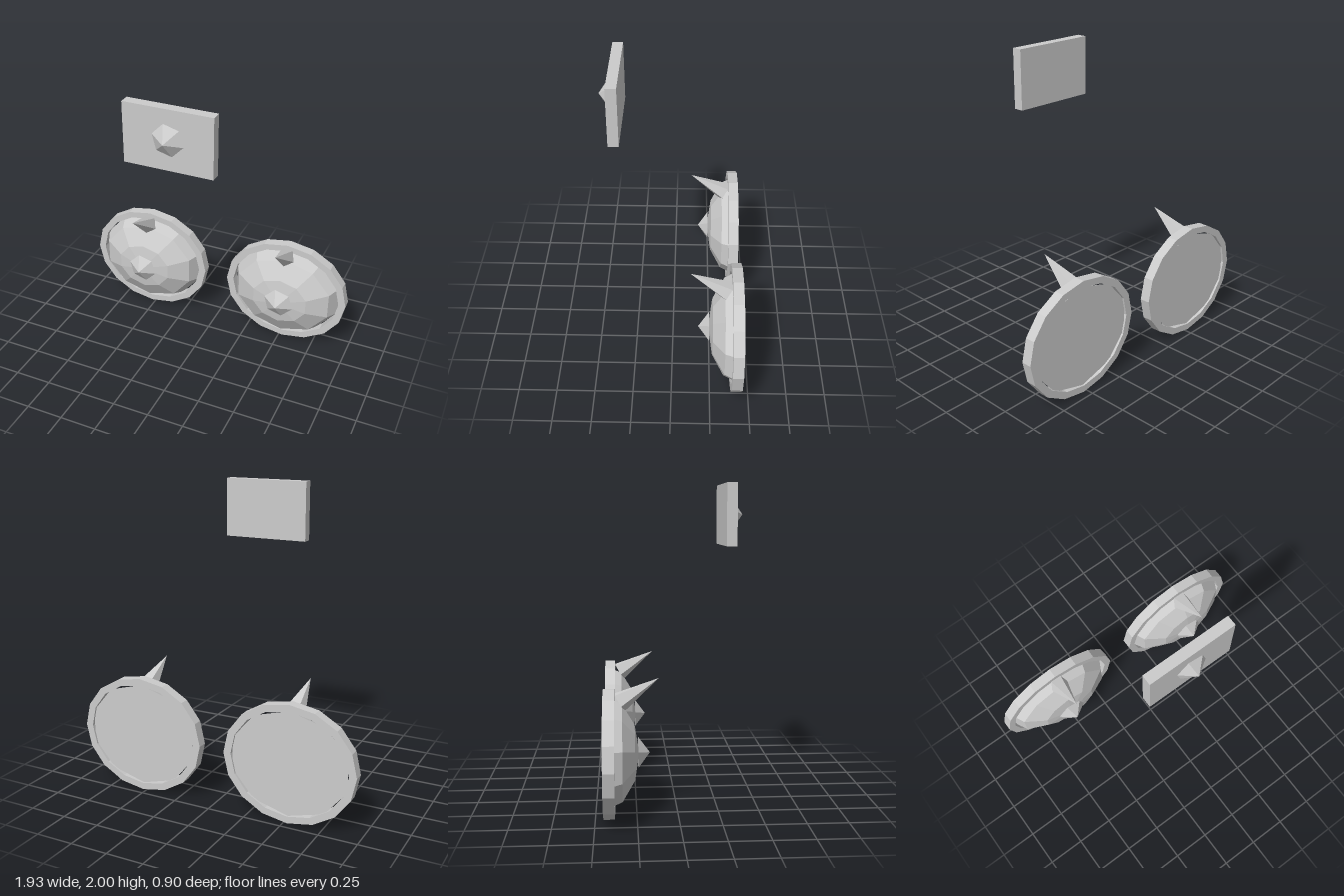
import * as THREE from 'three';

const material = new THREE.MeshStandardMaterial({ color: 0xcccccc, flatShading: true });

function part(name, geometry, x, y, z) {
  const mesh = new THREE.Mesh(geometry, material);
  mesh.name = name;
  mesh.position.set(x, y, z);
  return mesh;
}

// Six-sided pointed stud whose base sits at z = 0
function studGeometry() {
  return new THREE.ConeGeometry(0.105, 0.07, 6)
    .rotateX(Math.PI / 2)
    .rotateZ(THREE.MathUtils.degToRad(15))
    .translate(0, 0, 0.035);
}

// Points of a 16-sided oval
function ovalPoints(rx, ry) {
  return Array.from({ length: 16 }, (_, i) => {
    const a = (i / 16) * Math.PI * 2;
    return new THREE.Vector2(rx * Math.cos(a), ry * Math.sin(a));
  });
}

function createShield(name, x) {
  const shield = new THREE.Group();
  shield.name = name;
  shield.position.set(x, 0.387, 0);

  // Flat oval rim
  const rim = new THREE.Shape(ovalPoints(0.44, 0.387));
  rim.holes.push(new THREE.Path(ovalPoints(0.39, 0.342)));
  const rimGeometry = new THREE.ExtrudeGeometry(rim, { depth: 0.068, bevelEnabled: false });
  shield.add(part('rim', rimGeometry, 0, 0, -0.45));

  // Ten-sided half dome with a flat back
  const profile = [new THREE.Vector2(0, 0)];
  for (let i = 0; i <= 3; i++) {
    const a = (i * Math.PI) / 6;
    profile.push(new THREE.Vector2(i === 3 ? 0 : Math.cos(a), Math.sin(a)));
  }
  const domeGeometry = new THREE.LatheGeometry(profile, 10)
    .rotateX(Math.PI / 2)
    .scale(0.4, 0.342, 0.204);
  shield.add(part('dome', domeGeometry, 0, 0, -0.438));

  // Centre stud
  shield.add(part('domeStud', studGeometry(), 0, 0, -0.24));

  // Five-sided spike leaning forward from the top edge
  const spikeGeometry = new THREE.ConeGeometry(0.065, 0.275, 5)
    .translate(0, 0.1375, 0)
    .rotateX(THREE.MathUtils.degToRad(59));
  shield.add(part('spike', spikeGeometry, 0, 0.312, -0.351));
  return shield;
}

export function createModel() {
  const model = new THREE.Group();
  model.name = 'armourPieces';

  // Upper plate with its stud
  const plate = new THREE.Group();
  plate.name = 'studdedPlate';
  plate.position.set(0, 1.806, 0);
  plate.add(part('plate', new THREE.BoxGeometry(0.576, 0.388, 0.066), 0, 0, 0.348));
  plate.add(part('plateStud', studGeometry(), 0, 0, 0.38));
  model.add(plate);

  // Pair of spiked domes
  model.add(createShield('leftShield', 0.525), createShield('rightShield', -0.525));
  return model;
}
